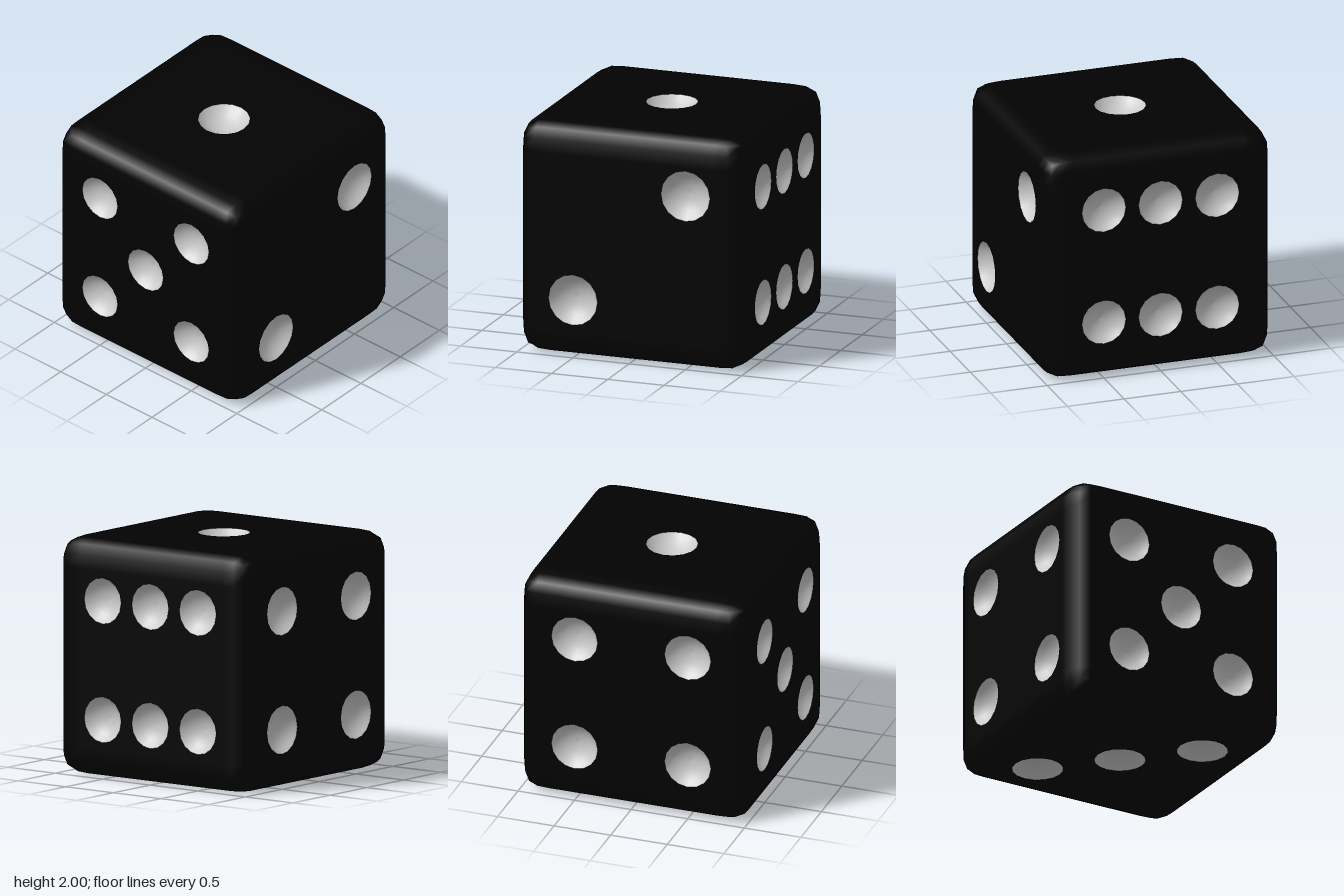
import * as THREE from 'three';
import { mergeGeometries } from 'three/addons/utils/BufferGeometryUtils.js';

const FLAT = 0.75;   // half width of the flat area of each face
const BEVEL = 0.25;  // size of the rounded border
const POWER = 3.2;   // roundness of the border (2 would be a circle)
const SIDES = 16;    // sides of each pip

// Rounded border of one face: a plane with uneven grid lines, bent back at its rim
function borderGeometry() {
  const lines = [-1, -0.87, -FLAT, FLAT, 0.87, 1];
  const geo = new THREE.PlaneGeometry(2, 2, 5, 5);
  const pos = geo.attributes.position;
  const normal = geo.attributes.normal;
  for (let i = 0; i < pos.count; i++) {
    const p = [lines[i % 6], -lines[Math.floor(i / 6)], 1];
    const core = p.map((c) => Math.max(-FLAT, Math.min(FLAT, c)));
    const d = p.map((c, k) => (c - core[k]) / BEVEL);
    const length = d.reduce((sum, c) => sum + Math.abs(c) ** POWER, 0) ** (1 / POWER);
    pos.setXYZ(i, ...core.map((c, k) => c + (BEVEL * d[k]) / length));
    const n = new THREE.Vector3(...d.map((c) => Math.sign(c) * Math.abs(c) ** (POWER - 1))).normalize();
    normal.setXYZ(i, n.x, n.y, n.z);
  }
  // Leave out the middle cell, which the flat panel fills
  const index = Array.from(geo.index.array);
  index.splice(12 * 6, 6);
  geo.setIndex(index);
  return geo;
}

// Flat middle of one face, with a hole for each pip
function panelGeometry(pips, radius) {
  const shape = new THREE.Shape([[-1, -1], [1, -1], [1, 1], [-1, 1]].map(([x, y]) => new THREE.Vector2(x * FLAT, y * FLAT)));
  for (const [x, y] of pips) {
    const rim = [];
    for (let i = 0; i < SIDES; i++) {
      const a = (-i / SIDES) * Math.PI * 2;
      rim.push(new THREE.Vector2(x + radius * Math.cos(a), y + radius * Math.sin(a)));
    }
    shape.holes.push(new THREE.Path(rim));
  }
  return new THREE.ShapeGeometry(shape).translate(0, 0, 1);
}

// Hollow pip: a shallow spherical bowl opening towards +z
function pipGeometry(radius) {
  const depth = radius * 0.52;
  const R = (radius * radius + depth * depth) / (2 * depth);
  const maxAngle = Math.asin(radius / R);
  const profile = [];
  for (let i = 0; i <= 5; i++) {
    const a = maxAngle * (1 - i / 5);
    profile.push(new THREE.Vector2(R * Math.sin(a), R - depth - R * Math.cos(a)));
  }
  return new THREE.LatheGeometry(profile, SIDES).rotateX(Math.PI / 2);
}

export function createModel() {
  const model = new THREE.Group();
  model.name = 'die';
  const black = new THREE.MeshStandardMaterial({ color: 0x020202 });
  const grey = new THREE.MeshStandardMaterial({ color: 0xcccccc });

  const s = 0.5;
  const diagonal = [[s, s], [-s, -s]];
  const corners = [...diagonal, [s, -s], [-s, s]];
  const q = Math.PI / 2;
  // Each face: turn about x and y, pip radius and pip positions
  const faces = [
    { name: 'topFace', rx: -q, ry: 0, radius: 0.218, pips: [[0, 0]] },
    { name: 'frontFace', rx: 0, ry: 0, radius: 0.218, pips: diagonal },
    { name: 'bottomFace', rx: q, ry: 0, radius: 0.215, pips: [[s, -s], [0, 0], [-s, s]] },
    { name: 'backFace', rx: 0, ry: 2 * q, radius: 0.205, pips: corners },
    { name: 'rightFace', rx: 0, ry: -q, radius: 0.194, pips: [...corners, [0, 0]] },
    { name: 'leftFace', rx: 0, ry: q, radius: 0.194, pips: [...corners, [0, s], [0, -s]] },
  ];

  for (const { name, rx, ry, radius, pips } of faces) {
    const face = new THREE.Group();
    face.name = name;
    face.rotation.set(rx, ry, 0);
    face.position.y = 1;

    const body = new THREE.Mesh(mergeGeometries([borderGeometry(), panelGeometry(pips, radius)]), black);
    body.name = 'body';
    face.add(body);

    const bowl = pipGeometry(radius);
    for (const [x, y] of pips) {
      const pip = new THREE.Mesh(bowl, grey);
      pip.name = 'pip';
      pip.position.set(x, y, 1);
      face.add(pip);
    }
    model.add(face);
  }
  return model;
}
